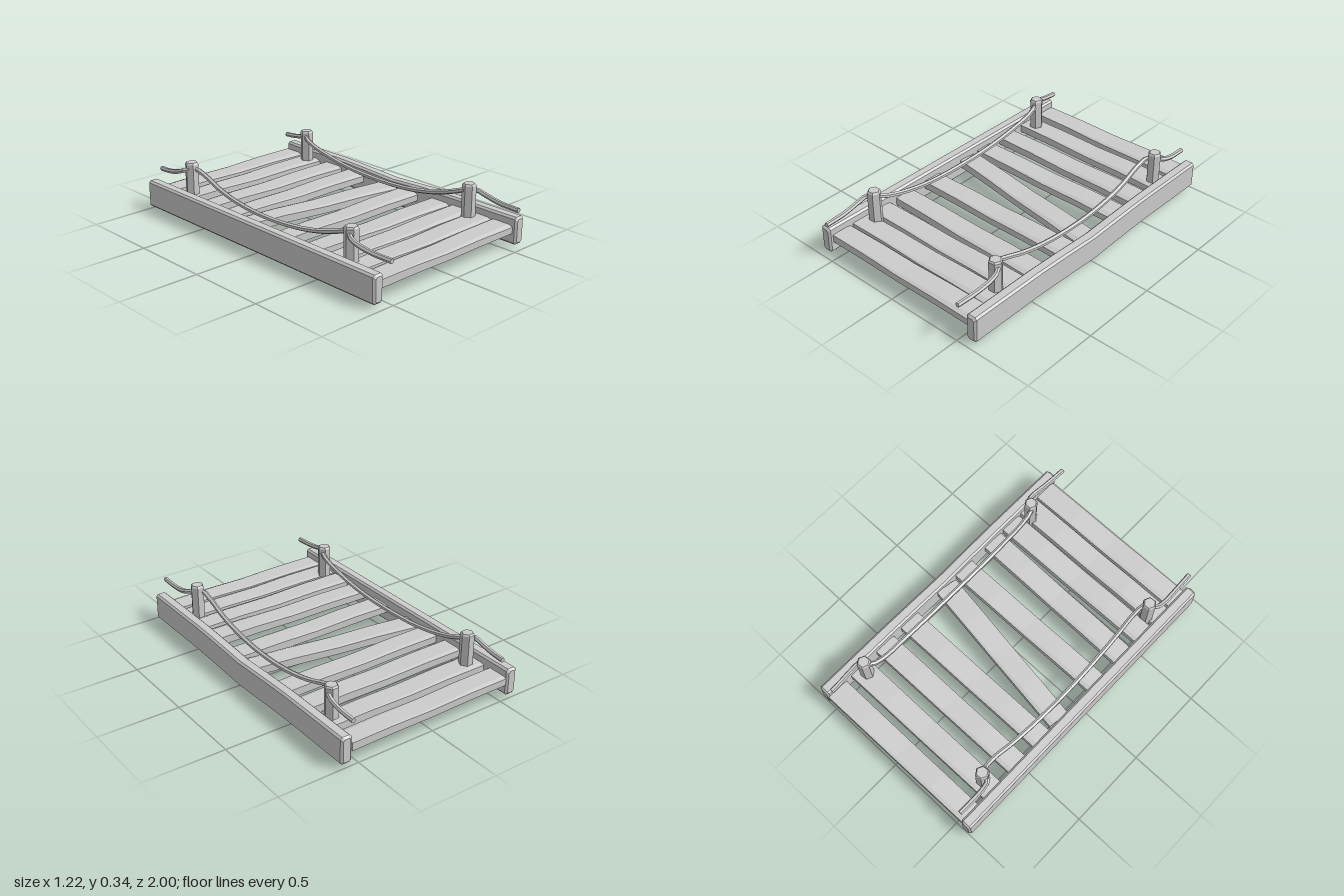
import * as THREE from 'three';

const material = new THREE.MeshStandardMaterial({ color: 0xcccccc, flatShading: true, side: THREE.DoubleSide });

// Skin a list of equal-sized rings (counter-clockwise seen from the far end) and cap both ends.
function loft(rings) {
  const n = rings[0].length;
  const index = [];
  for (let r = 0; r < rings.length - 1; r++) {
    for (let i = 0; i < n; i++) {
      const j = (i + 1) % n, a = r * n, b = a + n;
      index.push(a + i, a + j, b + j, a + i, b + j, b + i);
    }
  }
  const last = (rings.length - 1) * n;
  for (let i = 1; i < n - 1; i++) {
    index.push(0, i + 1, i, last, last + i, last + i + 1);
  }
  const g = new THREE.BufferGeometry();
  g.setAttribute('position', new THREE.Float32BufferAttribute(rings.flat(2), 3));
  g.setIndex(index);
  const flat = g.toNonIndexed();
  flat.computeVertexNormals();
  return flat;
}

function addMesh(parent, geometry, name) {
  const mesh = new THREE.Mesh(geometry, material);
  mesh.name = name;
  parent.add(mesh);
  return mesh;
}

// Bevelled side beam along z that dips by `sag` in the middle.
function railGeometry(x, sag) {
  const ring = (z, inset) => {
    const w = 0.035 - inset, h = 0.084 - inset, c = 0.012;
    const drop = sag * Math.pow(Math.max(0, 1 - Math.abs(z + 0.015) / 0.47), 1.2);
    return [[w, -h + c], [w, h - c], [w - c, h], [-w + c, h], [-w, h - c], [-w, -h + c], [-w + c, -h], [w - c, -h]]
      .map(([px, py]) => [x + px, 0.104 + py - drop, z]);
  };
  return loft([
    ring(-1, 0.012), ring(-0.988, 0),
    ...[-0.48, -0.35, -0.2, -0.015, 0.17, 0.32, 0.45].map(z => ring(z, 0)),
    ring(0.958, 0), ring(0.97, 0.012),
  ]);
}

// Worn plank along x: back edge chamfered at the left end, front edge at the right end.
function plankGeometry() {
  const rings = [-0.54, -0.27, 0, 0.27, 0.54].map((x, k) => {
    const t = k / 4;
    const lift = [0.001, 0.003, -0.003, 0.003, 0.001][k];
    const top = 0.025 + lift, bottom = -0.025 + lift * 0.6;
    const back = -0.063 - 0.009 * t, front = 0.072;
    const bandF = 0.004 + 0.026 * t, bandB = 0.004 + 0.022 * (1 - t);
    return [
      [top, back + bandB], [top, front - bandF], [top - 0.4 * bandF, front],
      [bottom, front], [bottom, back], [top - 0.3 * bandB, back],
    ].map(([y, z]) => [x, y, z]);
  });
  return loft(rings);
}

// Six-sided post with a chamfered head.
function postGeometry() {
  const profile = [[0, 0.08], [0.036, 0.08], [0.042, 0.086], [0.042, 0.328], [0.034, 0.339], [0, 0.339]];
  return new THREE.LatheGeometry(profile.map(p => new THREE.Vector2(...p)), 6);
}

// Rope hanging between two posts, passing round them to loose ends on the outside.
function ropeGeometry(s) {
  const path = [
    [0.517, 0.252, -0.975], [0.519, 0.256, -0.9], [0.52, 0.272, -0.81], [0.51, 0.295, -0.745],
    [0.455, 0.298, -0.71], [0.44, 0.27, -0.63], [0.45, 0.222, -0.47], [0.457, 0.189, -0.28],
    [0.46, 0.176, -0.04], [0.455, 0.189, 0.22], [0.449, 0.222, 0.41], [0.443, 0.27, 0.57],
    [0.455, 0.298, 0.65], [0.512, 0.295, 0.69], [0.524, 0.275, 0.75], [0.52, 0.256, 0.86], [0.514, 0.252, 1],
  ].map(([x, y, z]) => new THREE.Vector3(s * x, y, z));
  return new THREE.TubeGeometry(new THREE.CatmullRomCurve3(path), 64, 0.015, 6);
}

// Closed rope end.
function ropeEnd(group, x, z) {
  const cap = addMesh(group, new THREE.CircleGeometry(0.015, 6), 'ropeEnd');
  cap.position.set(x, 0.252, z);
}

export function createModel() {
  const model = new THREE.Group();
  model.name = 'plankBridge';

  // Side rails, the left one sagging
  addMesh(model, railGeometry(0.575, 0.02), 'leftRail');
  addMesh(model, railGeometry(-0.575, 0), 'rightRail');

  // Deck planks: z position and yaw
  const deck = new THREE.Group();
  deck.name = 'deck';
  model.add(deck);
  const plank = plankGeometry();
  const layout = [
    [-0.928, 0], [-0.745, 0], [-0.537, 0], [-0.33, 0], [-0.097, -0.146],
    [0.14, 0], [0.387, -0.02], [0.561, 0], [0.72, 0], [0.872, 0],
  ];
  layout.forEach(([z, yaw], i) => {
    const mesh = addMesh(deck, plank, 'plank' + (i + 1));
    mesh.position.set(0, 0.112, z);
    mesh.rotation.y = yaw;
  });

  // Posts
  const post = postGeometry();
  for (const [x, z] of [[-0.463, -0.737], [0.484, -0.737], [-0.477, 0.668], [0.475, 0.668]]) {
    const mesh = addMesh(model, post, (x > 0 ? 'left' : 'right') + (z > 0 ? 'FrontPost' : 'BackPost'));
    mesh.position.set(x, 0, z);
    mesh.rotation.y = Math.PI / 6 + 0.08;
  }

  // Ropes
  for (const s of [-1, 1]) {
    const rope = new THREE.Group();
    rope.name = s > 0 ? 'leftRope' : 'rightRope';
    model.add(rope);
    addMesh(rope, ropeGeometry(s), 'ropeLength');
    ropeEnd(rope, s * 0.517, -0.975);
    ropeEnd(rope, s * 0.514, 1);
  }
  return model;
}
